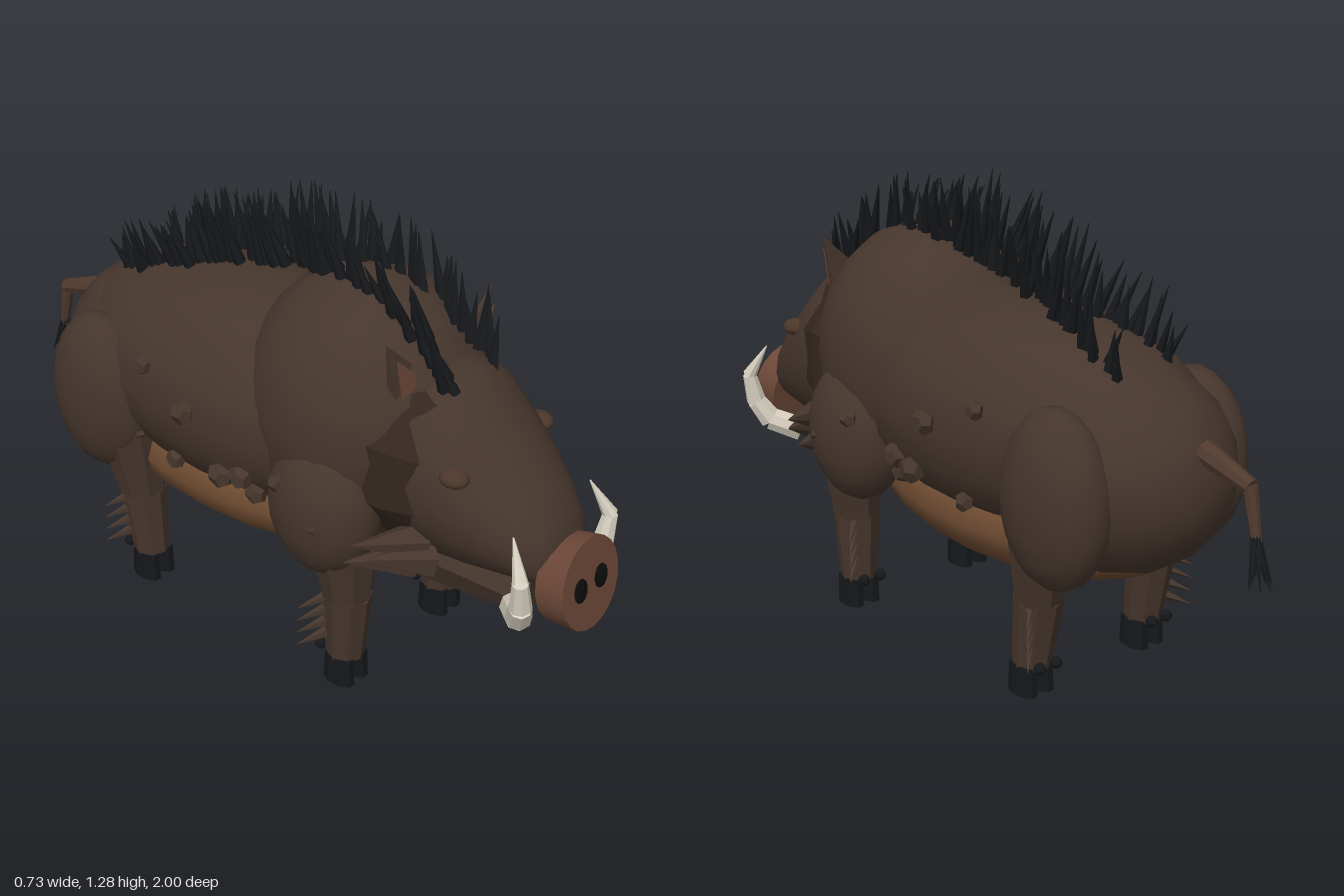
import * as THREE from 'three';
import { mergeGeometries } from 'three/addons/utils/BufferGeometryUtils.js';

const mat = (color, flatShading = false) => new THREE.MeshStandardMaterial({ color, flatShading });
const V = (x, y, z) => new THREE.Vector3(x, y, z);

// Tapered cylinder running from point a to point b
function limb(a, b, ra, rb, sides = 8) {
  const dir = b.clone().sub(a);
  const g = new THREE.CylinderGeometry(rb, ra, dir.length(), sides);
  g.applyQuaternion(new THREE.Quaternion().setFromUnitVectors(V(0, 1, 0), dir.clone().normalize()));
  return g.translate((a.x + b.x) / 2, (a.y + b.y) / 2, (a.z + b.z) / 2);
}

// Ellipsoid with its poles along z
function blob(c, r, seg = 18, rings = 12) {
  return new THREE.SphereGeometry(1, seg, rings).rotateX(Math.PI / 2).scale(...r).translate(...c);
}

// Closed skin over elliptical rings [z, centreY, rx, ry], listed from back to front
function loft(rings, sides) {
  const pos = [], idx = [];
  for (const [z, y, rx, ry] of rings)
    for (let i = 0; i < sides; i++) {
      const a = (i / sides) * Math.PI * 2;
      pos.push(Math.sin(a) * rx, y + Math.cos(a) * ry, z);
    }
  for (let r = 0; r < rings.length - 1; r++)
    for (let i = 0; i < sides; i++) {
      const j = (i + 1) % sides, a = r * sides, b = a + sides;
      idx.push(a + i, b + i, a + j, a + j, b + i, b + j);
    }
  const g = new THREE.BufferGeometry();
  g.setAttribute('position', new THREE.Float32BufferAttribute(pos, 3));
  g.setIndex(idx);
  g.computeVertexNormals();
  return g;
}

function seeded(seed) {
  return () => (seed = (seed * 16807) % 2147483647) / 2147483647;
}

export function createModel() {
  const group = new THREE.Group();
  const hide = mat(0x46362d), hideFlat = mat(0x46362d, true), dark = mat(0x34271f, true);
  const bellyMat = mat(0x6e4b31), skin = mat(0x6b4737, true), black = mat(0x15171a, true);
  const ivory = mat(0xd6cfbf, true), hole = mat(0x0b0b0b);
  hide.side = dark.side = THREE.DoubleSide;
  const rand = seeded(41);
  const jit = (s) => (rand() - 0.5) * 2 * s;

  const add = (name, geometry, material) => {
    const m = new THREE.Mesh(Array.isArray(geometry) ? mergeGeometries(geometry) : geometry, material);
    m.name = name;
    group.add(m);
    return m;
  };

  // Trunk
  add('torso', blob([0, 0.68, -0.12], [0.335, 0.32, 0.64], 20, 14), hide);
  add('shoulders', blob([0, 0.75, 0.26], [0.32, 0.38, 0.345], 20, 14), hide);
  add('rump', blob([0, 0.62, -0.47], [0.29, 0.29, 0.325]), hide);
  add('belly', blob([0, 0.42, -0.13], [0.27, 0.155, 0.53]), bellyMat);

  // Neck and wedge-shaped head
  add('neck', loft([[0.3, 0.72, 0.28, 0.27], [0.5, 0.71, 0.265, 0.27], [0.6, 0.7, 0.22, 0.25]], 10), dark);
  add('head', loft([
    [0.46, 0.72, 0.2, 0.22], [0.53, 0.71, 0.228, 0.262], [0.6, 0.69, 0.225, 0.265],
    [0.68, 0.655, 0.208, 0.222], [0.76, 0.62, 0.18, 0.176], [0.83, 0.585, 0.148, 0.135],
    [0.88, 0.555, 0.115, 0.1], [0.905, 0.54, 0.07, 0.06], [0.91, 0.535, 0.001, 0.001],
  ], 20), hide);
  add('lowerJaw', limb(V(0, 0.43, 0.52), V(0, 0.385, 0.82), 0.13, 0.065), hideFlat);

  // Snout disc, tilted slightly upward
  const snout = add('snout', new THREE.CylinderGeometry(0.125, 0.12, 0.085, 20).rotateX(Math.PI / 2), mat(0x6b4737));
  snout.position.set(0, 0.482, 0.937);
  snout.rotation.x = -0.17;
  [-1, 1].forEach((s) => {
    const n = new THREE.Mesh(blob([s * 0.045, 0, 0.04], [0.03, 0.035, 0.012], 12, 8), hole);
    n.name = 'nostril';
    snout.add(n);
  });

  // Bumps on the hide: [y, z, size]
  const warts = [[0.71, -0.1, 0.036], [0.51, -0.36, 0.03], [0.53, -0.4, 0.034], [0.5, -0.19, 0.03],
    [0.56, 0.07, 0.036], [0.54, 0.0, 0.04], [0.5, 0.09, 0.034], [0.44, 0.12, 0.036], [0.78, -0.27, 0.028]];

  for (const s of [-1, 1]) {
    const side = s > 0 ? 'left' : 'right';

    // Face
    add(side + 'Eye', blob([s * 0.18, 0.76, 0.675], [0.037, 0.025, 0.04], 12, 8), mat(0x4d372b));
    const ear = new THREE.ConeGeometry(0.06, 0.16, 6).scale(1, 1, 0.45).rotateZ(-s * 0.5);
    add(side + 'Ear', ear.translate(s * 0.18, 1.005, 0.48), hideFlat);
    const inner = new THREE.ConeGeometry(0.04, 0.11, 5).scale(1, 1, 0.4).rotateZ(-s * 0.5);
    add(side + 'InnerEar', inner.translate(s * 0.175, 0.985, 0.502), skin);

    const t = [V(s * 0.08, 0.38, 0.81), V(s * 0.15, 0.415, 0.87), V(s * 0.183, 0.475, 0.895),
      V(s * 0.2, 0.56, 0.9), V(s * 0.168, 0.657, 0.85)];
    const tr = [0.038, 0.036, 0.03, 0.021, 0.002];
    add(side + 'Tusk', t.slice(1).map((p, i) => limb(t[i], p, tr[i], tr[i + 1])), ivory);

    // Pointed cheek tufts
    add(side + 'CheekTufts', [[0.56, 0.5, 0.35], [0.52, 0.53, 0.33], [0.49, 0.47, 0.34]].map(([y, z, x]) =>
      limb(V(s * 0.17, y - 0.04, z + 0.07), V(s * x, y, z - 0.01), 0.055, 0.002, 6)), hideFlat);

    // Warts sit on the trunk surface
    add(side + 'Warts', warts.map(([y, z, r]) => {
      const x = 0.335 * Math.sqrt(Math.max(0, 1 - ((y - 0.68) / 0.32) ** 2 - ((z + 0.12) / 0.64) ** 2));
      return new THREE.DodecahedronGeometry(r).rotateY(rand() * 3).scale(0.8, 1, 1)
        .translate(s * (x + 0.008), y, z);
    }), hideFlat);
    add(side + 'ShoulderWarts', [[0.63, 0.23], [0.55, 0.36]].map(([y, z]) =>
      new THREE.DodecahedronGeometry(0.026).translate(s * 0.335, y, z)), hideFlat);

    // Legs: z of hoof, z of knee, z of hip
    const legs = [['Front', 0.365, 0.37, 0.365, 0.56], ['Hind', -0.375, -0.4, -0.425, 0.59]];
    for (const [kind, hz, kz, tz] of legs) {
      const front = kind === 'Front', name = side + kind;
      const thigh = front ? blob([s * 0.24, 0.555, 0.31], [0.122, 0.205, 0.165])
        : blob([s * 0.25, 0.59, -0.5], [0.112, 0.245, 0.17]);
      add(name + 'Thigh', thigh, hide);
      add(name + 'Leg', [
        limb(V(s * 0.225, 0.5, tz), V(s * 0.21, 0.28, kz), 0.1, 0.068),
        limb(V(s * 0.21, 0.28, kz), V(s * 0.21, 0.08, hz), 0.068, 0.053),
      ], hideFlat);

      // Cloven hoof and dewclaws
      const hoof = [];
      for (const o of [-0.029, 0.029]) {
        const toe = new THREE.CylinderGeometry(0.046, 0.05, 0.085, 8).rotateY(Math.PI / 8).scale(0.54, 1, 1);
        hoof.push(toe.translate(s * 0.21 + o, 0.0425, hz + 0.003));
        hoof.push(new THREE.SphereGeometry(0.017, 8, 6).translate(s * 0.21 + o, 0.092, hz - 0.062));
      }
      add(name + 'Hoof', hoof, black);

      // Spiky hair behind the shin, pointing out and back
      add(name + 'LegHair', [0.15, 0.19, 0.23, 0.27].map((y) =>
        limb(V(s * 0.245, y, hz - 0.035), V(s * 0.308, y - 0.035, hz - 0.088), 0.017, 0.001, 5)), hideFlat);
    }
  }

  // Mane: two rows of bristles following the back line
  const line = new THREE.CatmullRomCurve3([V(0, 0.94, 0.59), V(0, 1.05, 0.47), V(0, 1.1, 0.3), V(0, 1.11, 0.12),
    V(0, 1.07, -0.08), V(0, 1.01, -0.27), V(0, 0.94, -0.43), V(0, 0.88, -0.55)]);
  const mane = [];
  const count = 62;
  for (let i = 0; i < count; i++)
    for (const s of [-1, 1]) {
      const u = i / (count - 1), p = line.getPointAt(u);
      const spread = 0.09 - 0.045 * Math.sin(Math.PI * u);
      const a = V(s * spread + jit(0.022), p.y - 0.015, p.z + jit(0.01));
      const h = 0.125 + 0.035 * Math.sin(Math.PI * u) + jit(0.03);
      const b = V(a.x + s * 0.025 + jit(0.025), a.y + h, a.z - 0.035 + jit(0.03));
      mane.push(limb(a, b, 0.018, 0.001, 5));
    }
  add('maneBristles', mane, black);

  // Tail with a dark tuft
  add('tail', [
    limb(V(0, 0.73, -0.76), V(0, 0.68, -0.915), 0.033, 0.022),
    limb(V(0, 0.685, -0.91), V(0.005, 0.54, -0.945), 0.02, 0.013),
  ], mat(0x503a2e, true));
  const tuft = [];
  for (let i = 0; i < 7; i++) {
    const a = (i / 7) * Math.PI * 2;
    tuft.push(limb(V(0.005, 0.56, -0.94), V(0.02 + Math.cos(a) * 0.035, 0.45 + jit(0.015), -0.975 + Math.sin(a) * 0.025),
      0.014, 0.001, 5));
  }
  add('tailTuft', tuft, black);

  return group;
}
